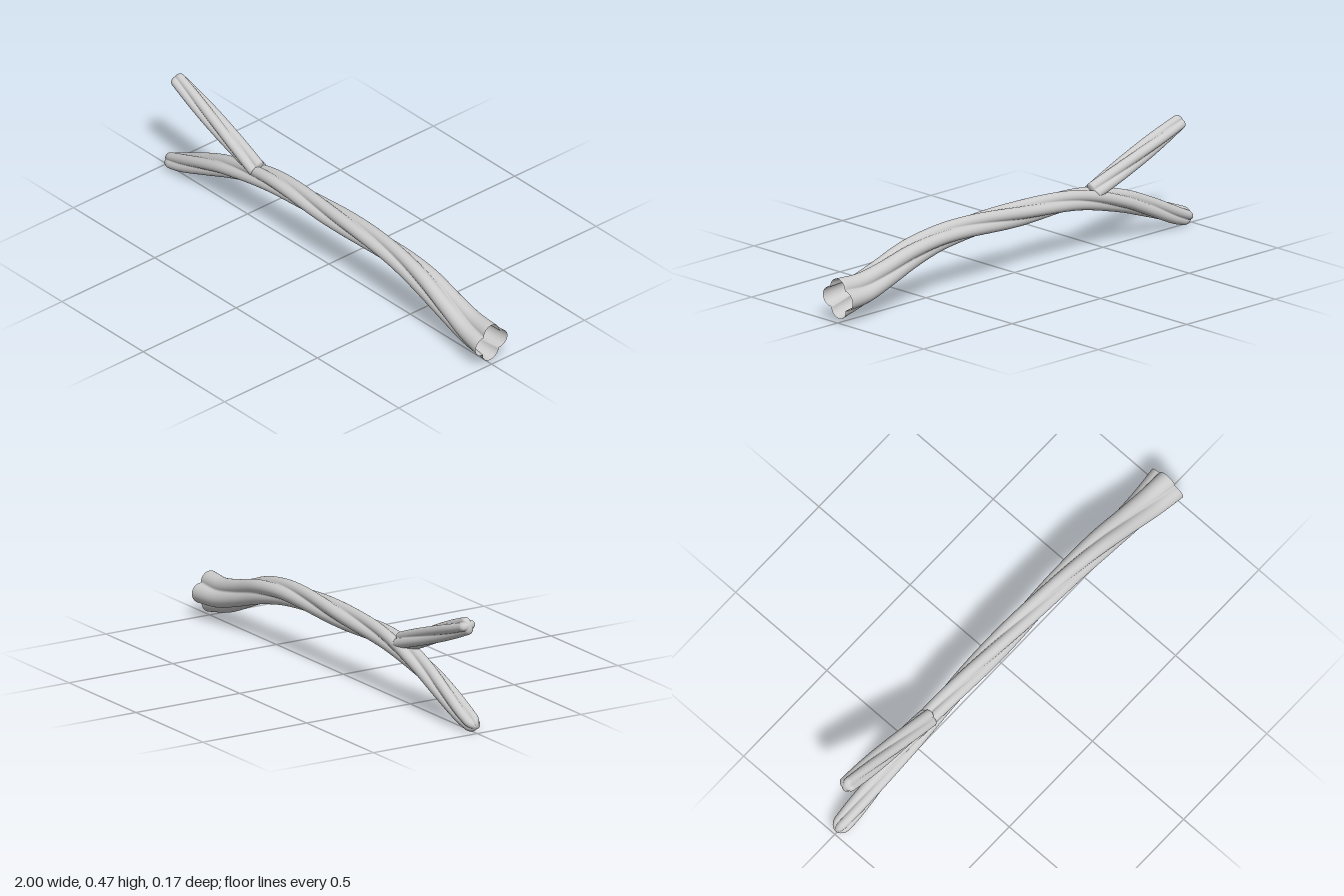
import * as THREE from 'three';

const SIDES = 64;
const material = new THREE.MeshStandardMaterial({ color: 0xcccccc, side: THREE.DoubleSide });

// Twist of the strands along x, in radians from the top towards the front
function twist(x) {
  const d = x - 0.11;
  return THREE.MathUtils.degToRad(190 * d - 43 * Math.max(0, d) ** 2);
}

// Four rounded strands side by side: outline of overlapping circles, 1 at each crest
function strandOutline(angle) {
  const quarter = Math.PI / 2;
  const a = angle - Math.round(angle / quarter) * quarter;
  const c = 0.51, rad = 0.49;
  return c * Math.cos(a) + Math.sqrt(rad * rad - (c * Math.sin(a)) ** 2);
}

// Lobed tube along a path in the xy plane; stations are [x, y, radius]
function twistedLimb(name, stations, { rings, capStart = 0, capEnd = 0, phase = 0 }) {
  const path = new THREE.CatmullRomCurve3(stations.map(([x, y]) => new THREE.Vector3(x, y, 0)));
  const radii = new THREE.CatmullRomCurve3(stations.map(([x, , r]) => new THREE.Vector3(x, r, 0)));

  // Ring parameters, packed closely where an end is rounded off
  const params = [];
  const capSteps = 8;
  const round = (len, i) => len * (1 - Math.cos((i / capSteps) * Math.PI / 2));
  for (let i = 0; capStart && i < capSteps; i++) params.push([round(capStart, i), Math.sin(i / capSteps * Math.PI / 2)]);
  for (let i = 0; i <= rings; i++) params.push([capStart + (1 - capStart - capEnd) * i / rings, 1]);
  for (let i = capSteps - 1; capEnd && i >= 0; i--) params.push([1 - round(capEnd, i), Math.sin(i / capSteps * Math.PI / 2)]);

  const positions = [], index = [];
  for (const [t, scale] of params) {
    const p = path.getPoint(t);
    const tan = path.getTangent(t);
    const r = radii.getPoint(t).y * Math.max(scale, 0.001);
    const up = new THREE.Vector2(-tan.y, tan.x);
    if (up.y < 0) up.negate();
    for (let j = 0; j < SIDES; j++) {
      const a = (j / SIDES) * Math.PI * 2;
      const turned = a + twist(p.x) + Math.PI / 4 + phase;
      const rr = r * strandOutline(a);
      const h = rr * Math.cos(turned);
      positions.push(Math.min(1, p.x + up.x * h), p.y + up.y * h, rr * Math.sin(turned));
    }
  }
  // Paths run towards +x
  for (let i = 0; i < params.length - 1; i++) {
    for (let j = 0; j < SIDES; j++) {
      const k = (j + 1) % SIDES;
      const a = i * SIDES + j, b = i * SIDES + k;
      index.push(a, a + SIDES, b, b, a + SIDES, b + SIDES);
    }
  }
  const geometry = new THREE.BufferGeometry();
  geometry.setAttribute('position', new THREE.Float32BufferAttribute(positions, 3));
  geometry.setIndex(index);
  geometry.computeVertexNormals();
  const mesh = new THREE.Mesh(geometry, material);
  mesh.name = name;
  return mesh;
}

export function createModel() {
  const group = new THREE.Group();
  group.name = 'twistedBranch';

  // Main limb: rounded tip on the right, open flared cut on the left
  group.add(twistedLimb('mainLimb', [
    [-0.995, 0.022, 0.036], [-0.9, 0.055, 0.043], [-0.75, 0.118, 0.046], [-0.6, 0.175, 0.048],
    [-0.35, 0.233, 0.049], [0, 0.244, 0.052], [0.3, 0.246, 0.053], [0.45, 0.234, 0.055],
    [0.6, 0.203, 0.061], [0.75, 0.152, 0.066], [0.88, 0.113, 0.075], [1, 0.1, 0.086],
  ], { rings: 120, capStart: 0.04 }));

  // Side shoot rising from the fork, rounded at both ends
  group.add(twistedLimb('sideShoot', [
    [-0.945, 0.443, 0.036], [-0.8, 0.386, 0.041], [-0.6, 0.307, 0.043], [-0.43, 0.24, 0.044],
  ], { rings: 50, capStart: 0.05, capEnd: 0.02, phase: -0.6 }));

  return group;
}
